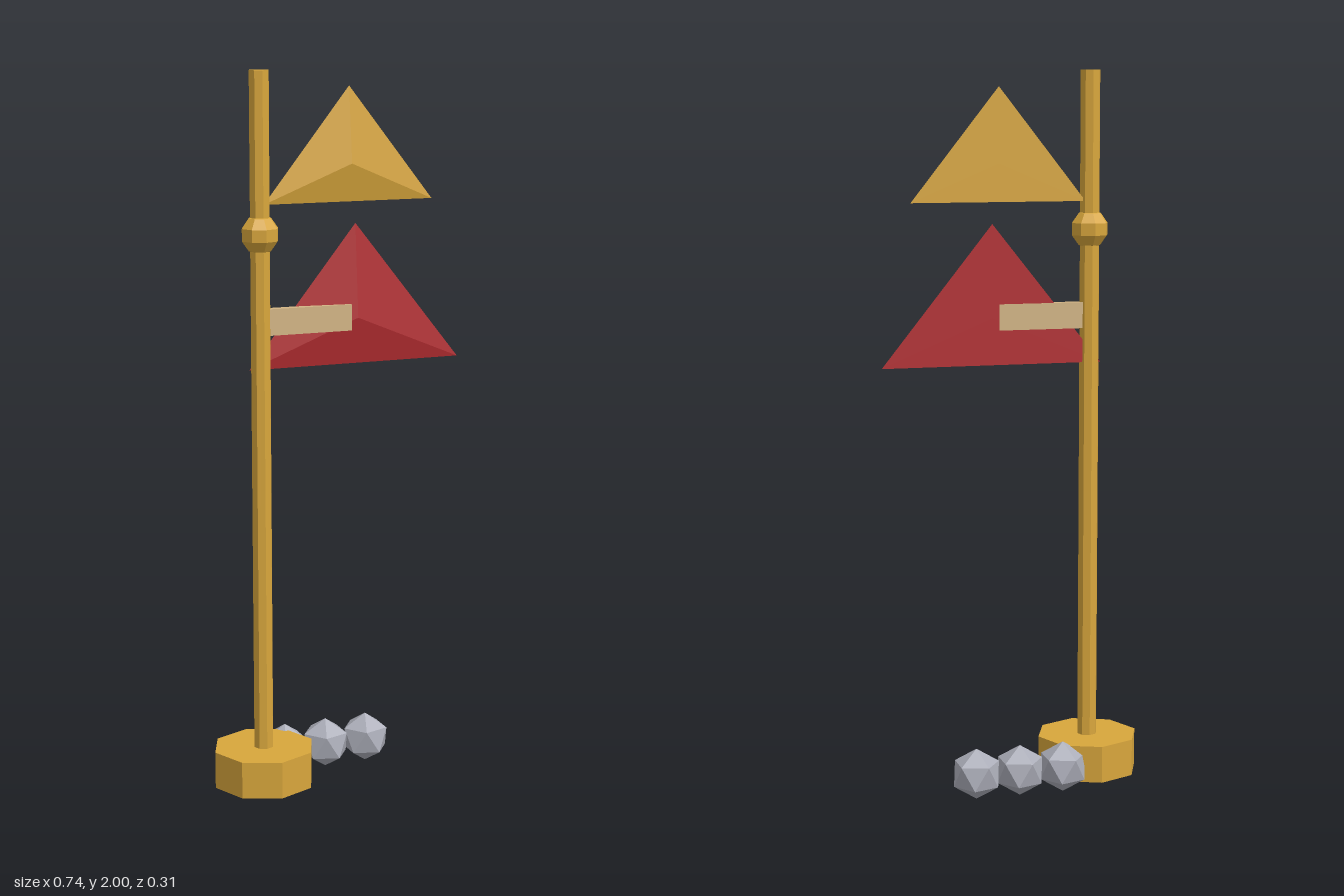
import * as THREE from 'three';

const flat = (name, color) =>
  new THREE.MeshStandardMaterial({ name, color, flatShading: true });

export function createModel() {
  const gold = flat('gold', 0xd8a63c);
  const red = flat('red', 0xb22c30);
  const tan = flat('tan', 0xd2b484);
  const stone = flat('stone grey', 0xacaeb9);

  const model = new THREE.Group();
  model.name = 'flagpole';
  const add = (name, geometry, material, x, y, z) => {
    const mesh = new THREE.Mesh(geometry, material);
    mesh.name = name;
    mesh.position.set(x, y, z);
    model.add(mesh);
    return mesh;
  };

  const poleX = -0.226, poleZ = 0.01;

  // Octagonal foot, pole and knob
  add('base', new THREE.CylinderGeometry(0.144, 0.144, 0.104, 8), gold, poleX, 0.078, poleZ);
  add('pole', new THREE.CylinderGeometry(0.028, 0.028, 1.9, 8), gold, poleX, 1.05, poleZ);
  add('knob', new THREE.SphereGeometry(0.054, 8, 5), gold, poleX, 1.568, poleZ);

  // Pennants: shallow three-sided pyramids with the point towards the front
  const pennant = (name, material, x, bottom, width, height) => {
    const geometry = new THREE.ConeGeometry(1, 0.022, 3);
    geometry.rotateY(Math.PI);
    geometry.rotateX(Math.PI / 2);
    geometry.scale(width / Math.sqrt(3), height / 1.5, 1);
    add(name, geometry, material, x, bottom + height / 3, 0.009);
  };
  pennant('upperPennant', gold, 0.036, 1.645, 0.492, 0.31);
  pennant('lowerPennant', red, 0.055, 1.2, 0.62, 0.386);

  // Stripe running through the lower pennant
  add('stripe', new THREE.BoxGeometry(0.245, 0.072, 0.025), tan, -0.0875, 1.331, 0.0095);

  // Row of stones beside the foot, each standing on a corner
  for (let i = 0; i < 3; i++) {
    const geometry = new THREE.IcosahedronGeometry(0.072, 0);
    geometry.rotateZ(Math.atan(2 / (1 + Math.sqrt(5))));
    add(`stone${i + 1}`, geometry, stone, -0.122 + i * 0.125, 0.072, -0.096);
  }

  return model;
}
